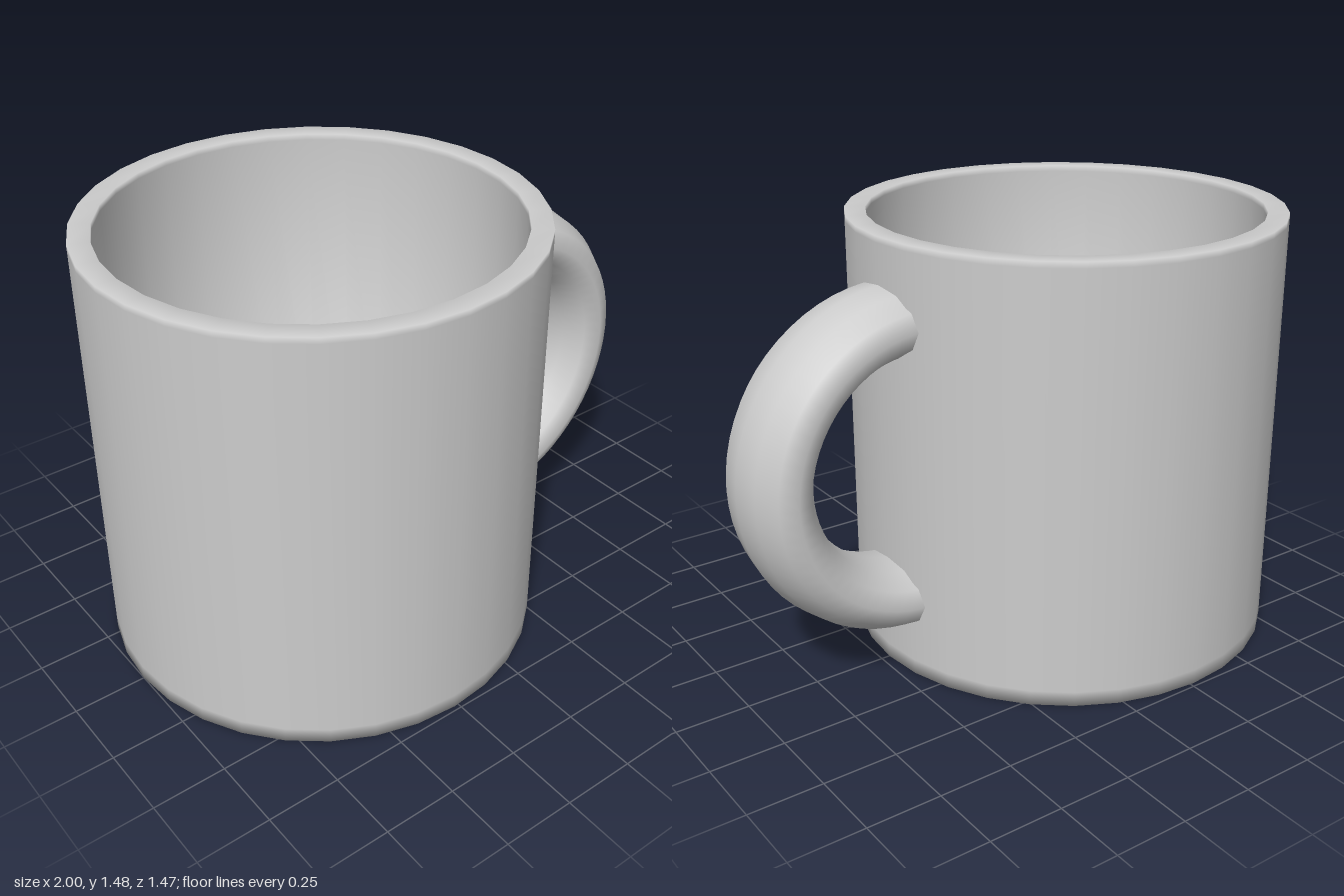
import * as THREE from 'three';

export function createModel() {
  const model = new THREE.Group();
  model.name = 'mug';

  const ceramic = new THREE.MeshStandardMaterial({ color: 0xcccccc });
  ceramic.name = 'grey ceramic';

  // Cup: one closed profile for base, outer wall, rim, inner wall and floor
  const outer = 0.735, inner = 0.665, height = 1.475, floor = 0.07;
  const profile = [
    [0, 0], [outer, 0], [outer, 0.05], [outer, height - 0.02], [outer, height],
    [inner, height], [inner, height - 0.02], [inner, floor], [0, floor],
  ].map(([r, y]) => new THREE.Vector2(r, y));
  const cup = new THREE.Mesh(new THREE.LatheGeometry(profile, 32), ceramic);
  cup.name = 'cup';
  cup.position.x = -0.265;
  model.add(cup);

  // Handle: half ring with an oval section, its ends sunk into the cup wall
  const ring = new THREE.TorusGeometry(0.472, 0.115, 12, 32, Math.PI);
  ring.rotateZ(-Math.PI / 2);
  ring.scale(1, 1, 0.187 / 0.115);
  ring.rotateY(0.029);
  const handle = new THREE.Mesh(ring, ceramic);
  handle.name = 'handle';
  handle.position.set(0.411, height / 2, -0.004);
  model.add(handle);

  return model;
}
